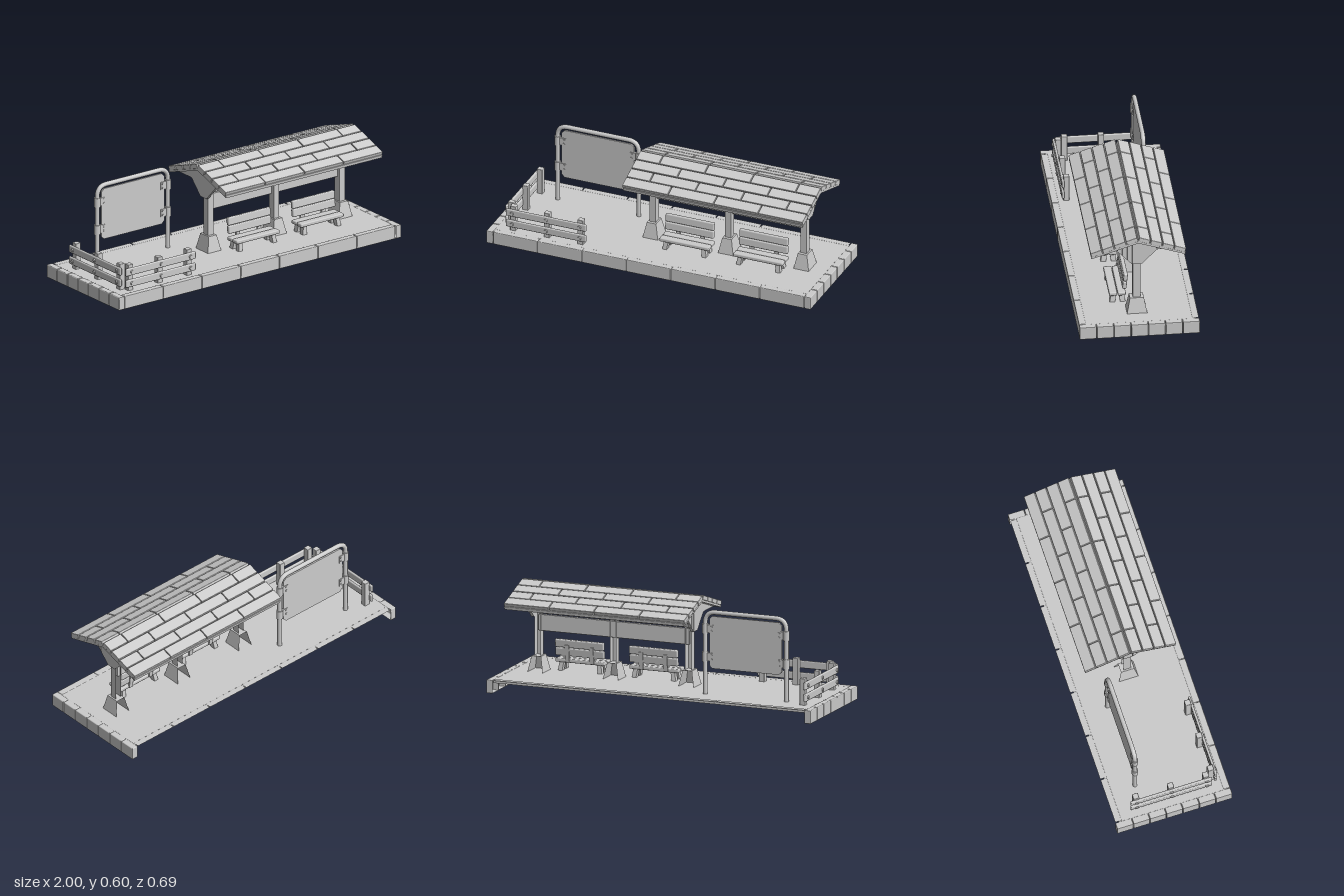
import * as THREE from 'three';
import { RoundedBoxGeometry } from 'three/addons/geometries/RoundedBoxGeometry.js';

const material = new THREE.MeshStandardMaterial({ color: 0xcccccc, roughness: 0.8 });
const openMaterial = new THREE.MeshStandardMaterial({ color: 0xcccccc, roughness: 0.8, side: THREE.DoubleSide });
const FACES = { px: 0, nx: 1, py: 2, ny: 3, pz: 4, nz: 5 };

function add(parent, name, geometry, x = 0, y = 0, z = 0, mat = material) {
  const mesh = new THREE.Mesh(geometry, mat);
  mesh.name = name;
  mesh.position.set(x, y, z);
  parent.add(mesh);
  return mesh;
}

function group(parent, name) {
  const g = new THREE.Group();
  g.name = name;
  parent.add(g);
  return g;
}

// Box with softened edges
const soft = (w, h, d, r = 0.005) => new RoundedBoxGeometry(w, h, d, 1, r);

// Softened box that keeps only the named sides
function shell(w, h, d, keep) {
  const full = soft(w, h, d, 0.005);
  const geometry = new THREE.BufferGeometry();
  const per = full.attributes.position.count / 6;
  for (const key of ['position', 'normal']) {
    const src = full.attributes[key].array;
    const out = keep.flatMap((f) => Array.from(src.slice(FACES[f] * per * 3, (FACES[f] + 1) * per * 3)));
    geometry.setAttribute(key, new THREE.Float32BufferAttribute(out, 3));
  }
  return geometry;
}

// Extrude an outline given as [z, y] along x, starting at x0
function extrudeX(points, x0, length) {
  const shape = new THREE.Shape(points.map(([z, y]) => new THREE.Vector2(z, y)));
  return new THREE.ExtrudeGeometry(shape, { depth: length, bevelEnabled: false })
    .rotateY(-Math.PI / 2).translate(x0 + length, 0, 0);
}

// Square block, open at the back, whose top may be narrower than its foot
function openBlock(w, h, d, topX = 1, topZ = 1) {
  const g = new THREE.BoxGeometry(w, h, d);
  g.setIndex(Array.from(g.index.array.slice(0, FACES.nz * 6)));
  const p = g.attributes.position;
  for (let i = 0; i < p.count; i++) {
    if (p.getY(i) > 0) p.setXYZ(i, p.getX(i) * topX, p.getY(i), p.getZ(i) * topZ);
  }
  g.computeVertexNormals();
  return g;
}

function buildPlatform(root) {
  const g = group(root, 'platform');
  add(g, 'deck', new THREE.BoxGeometry(1.93, 0.017, 0.64), 0, 0.066, 0);
  // Kerb stones are hollow on the inner side; the back row is only a capping
  const stone = (name, w, d, keep, x, z) => add(g, name, shell(w, 0.078, d, keep), x, 0.039, z, openMaterial);
  for (let i = 0; i < 7; i++) {
    const x = (i - 3) * 0.274;
    const z = (i - 3) * 0.0983;
    stone('frontKerbStone', 0.272, 0.04, ['px', 'nx', 'py', 'ny', 'pz'], x, 0.323);
    stone('backKerbStone', 0.272, 0.04, ['py'], x, -0.323);
    stone('leftKerbStone', 0.04, 0.0965, ['px', 'py', 'ny', 'pz', 'nz'], 0.98, z);
    stone('rightKerbStone', 0.04, 0.0965, ['nx', 'py', 'ny', 'pz', 'nz'], -0.98, z);
  }
}

function buildShelter(root) {
  const g = group(root, 'shelter');
  for (const x of [-0.11, 0.355, 0.82]) {
    add(g, 'postBase', openBlock(0.094, 0.093, 0.116, 0.6, 0.68), x, 0.12, 0, openMaterial);
    add(g, 'post', openBlock(0.038, 0.4, 0.044), x, 0.36, 0, openMaterial);
  }
  // Horizontal wall boards
  for (const [y, h] of [[0.359, 0.095], [0.459, 0.095], [0.536, 0.05]]) {
    add(g, 'wallBoard', soft(0.93, h, 0.016, 0.003), 0.355, y, -0.005);
  }

  // Gable planks at both ends, with a stepped lower outline
  const step = 0.0283;
  const top = (z) => 0.567 - 0.315 * Math.abs(z);
  const bottom = (z) => 0.393 + 0.089 * THREE.MathUtils.clamp((Math.abs(z) - step) / (3 * step), 0, 1);
  for (const x0 of [-0.146, 0.838]) {
    const gable = group(g, 'gable');
    const e = step - 0.001;
    add(gable, 'gablePlank', extrudeX([[-e, 0.393], [e, 0.393], [e, top(e)], [0, top(0)], [-e, top(e)]], x0, 0.018));
    for (const s of [-1, 1]) {
      for (let j = 1; j < 9; j++) {
        const a = j * step + 0.001;
        const b = (j + 1) * step - 0.001;
        add(gable, 'gablePlank', extrudeX([[s * a, bottom(a)], [s * b, bottom(b)],
          [s * b, top(b)], [s * a, top(a)]], x0, 0.018));
      }
    }
  }

  // Roof deck and staggered rows of shingles
  const roof = group(g, 'roof');
  add(roof, 'roofDeck', extrudeX([[-0.268, 0.478], [0, 0.565], [0.268, 0.478],
    [0.271, 0.495], [0, 0.582], [-0.271, 0.495]], -0.187, 1.106));
  const rows = [[0.238, 0.513], [0.171, 0.535], [0.103, 0.558], [0.035, 0.58]];
  const joints = [[-0.193, 0.09, 0.37, 0.645, 0.923], [-0.193, -0.05, 0.23, 0.51, 0.79, 0.923]];
  for (const s of [-1, 1]) {
    rows.forEach(([z, y], r) => {
      const xs = joints[r % 2];
      for (let i = 0; i + 1 < xs.length; i++) {
        const tile = add(roof, 'shingle', soft(xs[i + 1] - xs[i] - 0.004, 0.026, 0.066, 0.003),
          (xs[i] + xs[i + 1]) / 2, y, s * z);
        tile.rotation.x = s * 0.33;
      }
    });
  }
}

function buildBench(root, x) {
  const g = group(root, 'bench');
  g.position.x = x;
  for (const z of [0.123, 0.074]) add(g, 'seatPlank', soft(0.305, 0.023, 0.047, 0.007), 0, 0.134, z);
  for (const [y, z] of [[0.186, 0.057], [0.235, 0.052]]) {
    add(g, 'backPlank', soft(0.3, 0.047, 0.024, 0.007), 0, y, z).rotation.x = -0.1;
  }
  for (const s of [-1, 1]) {
    for (const [z, tilt] of [[0.122, -0.14], [0.07, 0.14]]) {
      const leg = add(g, 'leg', new THREE.BoxGeometry(0.026, 0.058, 0.03), s * 0.118, 0.1, z);
      leg.rotation.set(tilt, 0, s * 0.14);
    }
    add(g, 'backSupport', new THREE.BoxGeometry(0.026, 0.1, 0.012), s * 0.075, 0.178, 0.046).rotation.x = -0.1;
  }
}

function buildSign(root) {
  const g = group(root, 'signFrame');
  g.position.set(-0.525, 0, -0.165);
  const v = (x, y) => new THREE.Vector3(x, y, 0);
  const path = new THREE.CurvePath();
  const [w, h, r] = [0.25, 0.553, 0.065];
  path.add(new THREE.LineCurve3(v(-w, 0.07), v(-w, h - r)));
  path.add(new THREE.QuadraticBezierCurve3(v(-w, h - r), v(-w, h), v(r - w, h)));
  path.add(new THREE.LineCurve3(v(r - w, h), v(w - r, h)));
  path.add(new THREE.QuadraticBezierCurve3(v(w - r, h), v(w, h), v(w, h - r)));
  path.add(new THREE.LineCurve3(v(w, h - r), v(w, 0.07)));
  add(g, 'archTube', new THREE.TubeGeometry(path, 110, 0.0135, 12));

  // Panel with cut corners
  const [a, b, c] = [0.223, 0.152, 0.018];
  const outline = [[c - a, -b], [a - c, -b], [a, c - b], [a, b - c], [a - c, b], [c - a, b], [-a, b - c], [-a, c - b]];
  const shape = new THREE.Shape(outline.map(([x, y]) => new THREE.Vector2(x, y)));
  add(g, 'signPanel', new THREE.ExtrudeGeometry(shape, { depth: 0.01, bevelEnabled: false }), 0, 0.378, -0.005);

  // Sleeves and bolted clamps
  for (const s of [-1, 1]) {
    for (const y of [0.456, 0.292]) {
      add(g, 'sleeve', new THREE.CylinderGeometry(0.0185, 0.0185, 0.056, 14), s * w, y, 0);
      add(g, 'clamp', new THREE.BoxGeometry(0.045, 0.046, 0.018), s * 0.218, y, 0);
      for (const dy of [-0.012, 0.012]) {
        add(g, 'bolt', new THREE.CylinderGeometry(0.006, 0.006, 0.026, 8).rotateX(Math.PI / 2), s * 0.208, y + dy, 0);
      }
    }
  }
}

// Fence running along local x, with its rails on the local +z side
function buildFence(root, name, posts, railStart, railEnd) {
  const g = group(root, name);
  for (const x of posts) add(g, 'fencePost', soft(0.035, 0.16, 0.035, 0.004), x, 0.15, 0);
  for (const y of [0.12, 0.189]) {
    add(g, 'rail', soft(railEnd - railStart, 0.045, 0.016, 0.007), (railStart + railEnd) / 2, y, 0.021);
    for (const x of posts) {
      add(g, 'railBolt', new THREE.CylinderGeometry(0.009, 0.012, 0.008, 10).rotateX(Math.PI / 2), x, y, 0.031);
    }
  }
  return g;
}

export function createModel() {
  const root = new THREE.Group();
  root.name = 'stationPlatform';
  buildPlatform(root);
  buildShelter(root);
  buildBench(root, 0.135);
  buildBench(root, 0.59);
  buildSign(root);
  buildFence(root, 'frontFence', [-0.865, -0.657, -0.45], -0.905, -0.41).position.z = 0.256;
  const side = buildFence(root, 'sideFence', [-0.2, 0.008, 0.217], -0.238, 0.25);
  side.rotation.y = -Math.PI / 2;
  side.position.x = -0.895;
  return root;
}
